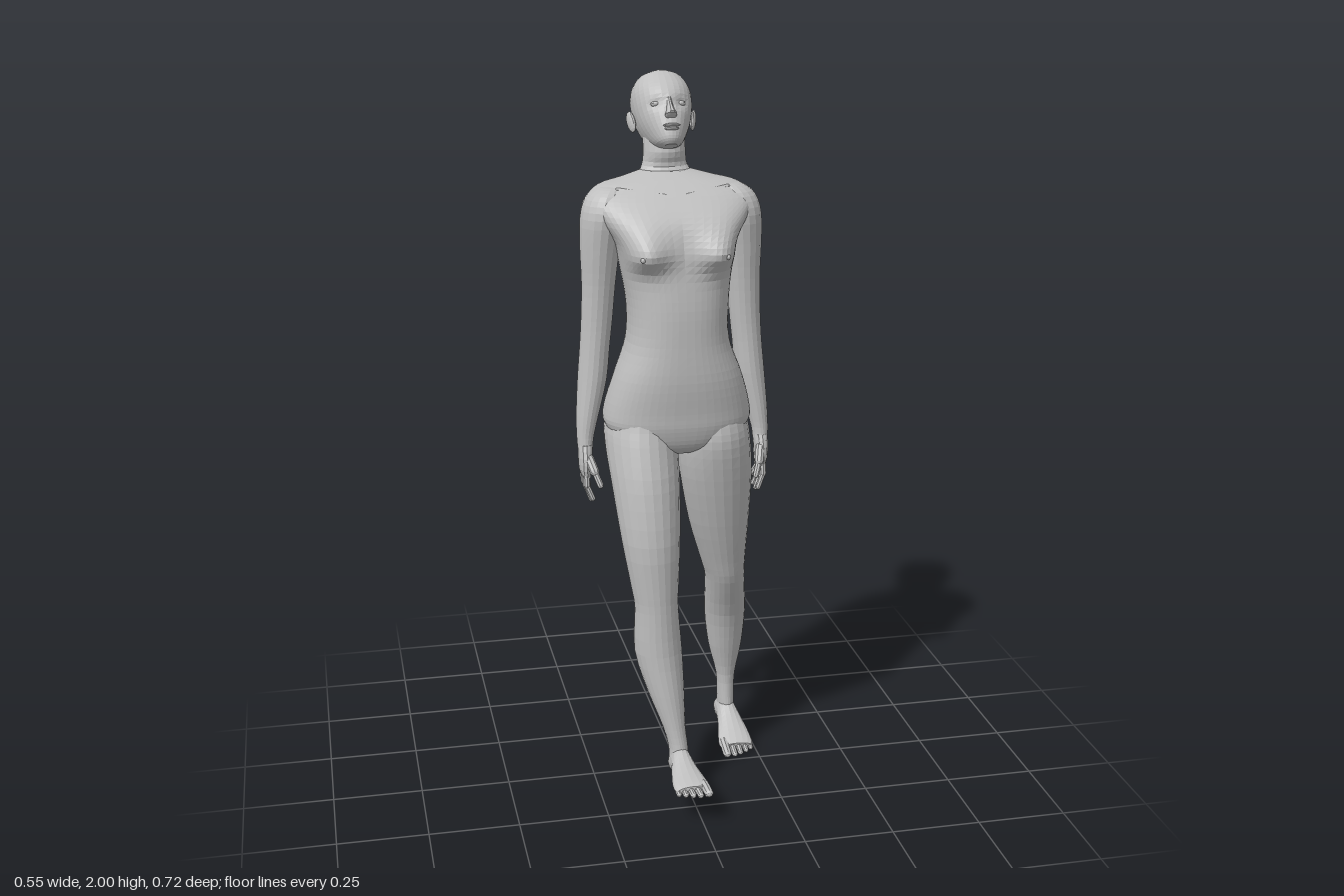
import * as THREE from 'three';

const skin = new THREE.MeshStandardMaterial({ color: 0xbfbfbf, flatShading: true });
skin.name = 'plain grey';

const catmull = (a, b, c, d, t) =>
  b + 0.5 * t * (c - a + t * (2 * a - 5 * b + 4 * c - d + t * (3 * (b - c) + d - a)));

// Closed skin through rows of [height, x min, x max, z min, z max], listed bottom to top
function loft(rows, { seg = 20, sub = 3, power = 2, side = 1, shape } = {}) {
  const pos = [], idx = [], rings = (rows.length - 1) * sub + 1;
  const row = (i) => rows[Math.min(Math.max(i, 0), rows.length - 1)];
  for (let r = 0; r < rings; r++) {
    const i = Math.min(Math.floor(r / sub), rows.length - 2), t = r / sub - i;
    const [y, x0, x1, z0, z1] = row(i).map((_, k) =>
      catmull(row(i - 1)[k], row(i)[k], row(i + 1)[k], row(i + 2)[k], t));
    for (let j = 0; j < seg; j++) {
      const a = (j / seg) * Math.PI * 2, c = Math.cos(a), s = Math.sin(a);
      const p = new THREE.Vector3(
        side * (x0 + x1) / 2 + (x1 - x0) / 2 * Math.sign(c) * Math.abs(c) ** (2 / power), y,
        (z0 + z1) / 2 + (z1 - z0) / 2 * Math.sign(s) * Math.abs(s) ** (2 / power));
      if (shape) shape(p, s);
      pos.push(p.x, p.y, p.z);
      const k = (j + 1) % seg, b = r * seg;
      if (r < rings - 1) idx.push(b + k, b + j, b + seg + j, b + k, b + seg + j, b + seg + k);
    }
  }
  // End caps
  for (const [r, i] of [[0, 0], [rings - 1, rows.length - 1]]) {
    const [y, x0, x1, z0, z1] = rows[i], c = pos.length / 3;
    pos.push(side * (x0 + x1) / 2, y, (z0 + z1) / 2);
    for (let j = 0; j < seg; j++) {
      const a = r * seg + j, b = r * seg + (j + 1) % seg;
      r ? idx.push(c, b, a) : idx.push(c, a, b);
    }
  }
  const g = new THREE.BufferGeometry();
  g.setAttribute('position', new THREE.Float32BufferAttribute(pos, 3));
  g.setIndex(idx);
  g.computeVertexNormals();
  return g;
}

function add(parent, name, geometry) {
  const m = new THREE.Mesh(geometry, skin);
  m.name = name;
  parent.add(m);
  return m;
}

function blob(parent, name, p, r) {
  const m = add(parent, name, new THREE.SphereGeometry(1, 12, 8));
  m.position.set(...p);
  m.scale.set(...r);
  return m;
}

// Rounded rod between two points
function rod(parent, name, a, b, r) {
  const A = new THREE.Vector3(...a), B = new THREE.Vector3(...b), d = B.clone().sub(A);
  const m = add(parent, name, new THREE.CapsuleGeometry(r, d.length(), 3, 8));
  m.position.copy(A).add(B).multiplyScalar(0.5);
  m.quaternion.setFromUnitVectors(new THREE.Vector3(0, 1, 0), d.normalize());
}

const bump = (u, v) => Math.exp(-u * u - v * v);

// Bust in front; spine hollow, buttocks and cleft behind
function shapeTorso(p, s) {
  const ax = Math.abs(p.x);
  if (s > 0) {
    const v = p.y - 1.55;
    p.z += 0.055 * bump((ax - 0.11) / 0.062, v / (v < 0 ? 0.042 : 0.065)) * Math.min(1, s * 2);
  } else {
    p.z += 0.012 * bump(p.x / 0.05, (p.y - 1.4) / 0.17);
    p.z -= 0.016 * bump((ax - 0.09) / 0.07, (p.y - 1.085) / 0.06) * Math.min(1, -s * 1.5);
    p.z += 0.04 * bump(p.x / 0.03, (p.y - 1.05) / 0.07);
  }
}

// Eye sockets
function shapeHead(p, s) {
  if (s > 0) p.z -= 0.01 * bump((Math.abs(p.x) - 0.034) / 0.02, (p.y + 0.014) / 0.016);
}

function makeHead() {
  const head = new THREE.Group();
  head.name = 'head';
  head.position.set(0.005, 1.9, -0.225);
  head.rotation.x = -0.435;
  add(head, 'skull', loft([
    [-0.128, -0.018, 0.018, 0.04, 0.085], [-0.115, -0.037, 0.037, -0.02, 0.097],
    [-0.09, -0.054, 0.054, -0.085, 0.101], [-0.06, -0.068, 0.068, -0.107, 0.1],
    [-0.03, -0.077, 0.077, -0.121, 0.099], [0, -0.082, 0.082, -0.13, 0.098],
    [0.035, -0.083, 0.083, -0.13, 0.086], [0.065, -0.075, 0.075, -0.115, 0.064],
    [0.09, -0.055, 0.055, -0.08, 0.04], [0.104, -0.015, 0.015, -0.03, 0.012],
  ], { seg: 32, power: 2.15, shape: shapeHead }));
  add(head, 'nose', loft([
    [-0.06, -0.012, 0.012, 0.08, 0.108], [-0.052, -0.017, 0.017, 0.08, 0.125],
    [-0.042, -0.012, 0.012, 0.08, 0.124], [-0.022, -0.008, 0.008, 0.08, 0.11],
    [0.002, -0.007, 0.007, 0.08, 0.097],
  ], { seg: 10, sub: 2 }));
  blob(head, 'upperLip', [0, -0.08, 0.098], [0.024, 0.005, 0.01]);
  blob(head, 'lowerLip', [0, -0.089, 0.097], [0.02, 0.006, 0.011]);
  for (const s of [-1, 1]) {
    blob(head, 'eye', [s * 0.034, -0.014, 0.075], [0.015, 0.008, 0.011]);
    const ear = blob(head, 'ear', [s * 0.087, -0.032, -0.022], [0.008, 0.03, 0.018]);
    ear.rotation.set(-0.1, s * -0.4, s * -0.2);
  }
  return head;
}

function makeArm(s) {
  const arm = new THREE.Group();
  arm.name = s > 0 ? 'leftArm' : 'rightArm';
  add(arm, 'armSkin', loft([
    [0.985, 0.23, 0.272, -0.085, -0.03], [1.02, 0.226, 0.274, -0.092, -0.034],
    [1.08, 0.21, 0.273, -0.112, -0.035], [1.18, 0.184, 0.266, -0.132, -0.038],
    [1.27, 0.174, 0.258, -0.135, -0.042], [1.35, 0.165, 0.253, -0.133, -0.042],
    [1.45, 0.156, 0.25, -0.137, -0.036], [1.55, 0.143, 0.253, -0.15, -0.024],
    [1.63, 0.13, 0.251, -0.162, -0.014], [1.68, 0.125, 0.236, -0.16, -0.026],
    [1.705, 0.13, 0.205, -0.145, -0.05], [1.712, 0.145, 0.175, -0.12, -0.08],
  ], { side: s, seg: 18 }));
  add(arm, 'palm', loft([
    [0.905, 0.238, 0.262, -0.092, -0.022], [0.93, 0.235, 0.27, -0.097, -0.014],
    [0.965, 0.232, 0.272, -0.093, -0.016], [1.0, 0.23, 0.272, -0.085, -0.03],
  ], { side: s, seg: 12, sub: 2 }));
  // Fingers curl toward the thigh, front to back
  [[-0.03, -0.02, 0.85], [-0.05, -0.047, 0.84], [-0.068, -0.074, 0.845], [-0.085, -0.098, 0.865]]
    .forEach(([z0, z1, tip]) => {
      const mid = [s * 0.253, (0.915 + tip) / 2 + 0.005, (z0 + z1) / 2];
      rod(arm, 'finger', [s * 0.253, 0.92, z0], mid, 0.0095);
      rod(arm, 'fingertip', mid, [s * 0.238, tip, z1], 0.008);
    });
  rod(arm, 'thumbBase', [s * 0.245, 0.965, -0.03], [s * 0.235, 0.935, 0.0], 0.013);
  rod(arm, 'thumb', [s * 0.235, 0.935, 0.0], [s * 0.222, 0.9, 0.018], 0.009);
  return arm;
}

function makeFoot(s, position, pitch, yaw) {
  const foot = new THREE.Group();
  foot.name = s > 0 ? 'leftFoot' : 'rightFoot';
  // Sections run from heel to ball: [z, inner, outer, bottom, top]
  const rows = [
    [0, -0.015, 0.015, 0.014, 0.045], [0.012, -0.025, 0.025, 0.003, 0.062],
    [0.04, -0.03, 0.03, 0, 0.085], [0.075, -0.031, 0.031, 0.002, 0.088],
    [0.12, -0.036, 0.04, 0.007, 0.066], [0.17, -0.046, 0.05, 0.002, 0.046],
    [0.202, -0.05, 0.052, 0, 0.034], [0.218, -0.046, 0.046, 0.004, 0.026],
  ].map(([z, x0, x1, y0, y1]) => [z, x0, x1, -y1, -y0]);
  add(foot, 'footSkin', loft(rows, { side: s, seg: 16 }).rotateX(Math.PI / 2));
  [[-0.035, 0.26, 0.013], [-0.012, 0.257, 0.009], [0.007, 0.25, 0.0085],
    [0.026, 0.24, 0.008], [0.043, 0.228, 0.0075]].forEach(([x, end, r]) =>
    rod(foot, 'toe', [s * x, r + 0.008, 0.195], [s * x, r + 0.001, end - r], r));
  foot.position.set(...position);
  foot.rotation.set(pitch, yaw, 0);
  return foot;
}

export function createModel() {
  const figure = new THREE.Group();
  figure.name = 'walkingFigure';

  // Trunk from crotch to collar, including the shoulder slope
  add(figure, 'torso', loft([
    [0.985, -0.05, 0.06, -0.09, 0.04], [1.01, -0.15, 0.16, -0.135, 0.07],
    [1.06, -0.197, 0.207, -0.168, 0.086], [1.11, -0.198, 0.208, -0.172, 0.091],
    [1.2, -0.172, 0.182, -0.157, 0.1], [1.3, -0.138, 0.146, -0.158, 0.1],
    [1.4, -0.134, 0.144, -0.166, 0.098], [1.5, -0.15, 0.155, -0.174, 0.088],
    [1.57, -0.166, 0.166, -0.182, 0.08], [1.63, -0.205, 0.205, -0.19, 0.058],
    [1.68, -0.228, 0.228, -0.198, 0.005], [1.71, -0.195, 0.195, -0.205, -0.04],
    [1.725, -0.13, 0.135, -0.212, -0.07], [1.74, -0.065, 0.07, -0.22, -0.12],
  ], { seg: 56, sub: 4, power: 2.4, shape: shapeTorso }));
  add(figure, 'neck', loft([
    [1.69, -0.12, 0.125, -0.205, -0.06], [1.72, -0.085, 0.09, -0.222, -0.105],
    [1.75, -0.062, 0.067, -0.236, -0.142], [1.79, -0.056, 0.062, -0.256, -0.135],
    [1.85, -0.055, 0.062, -0.28, -0.15],
  ]));
  figure.add(makeHead());

  for (const s of [-1, 1]) {
    figure.add(makeArm(s));
    blob(figure, 'nipple', [s * 0.115, 1.546, 0.106], [0.007, 0.007, 0.007]);
    rod(figure, 'collarbone', [s * 0.03, 1.69, -0.022], [s * 0.15, 1.704, -0.062], 0.009);
  }

  // Hip, thigh and calf of each leg: right strides forward, left trails
  add(figure, 'rightLeg', loft([
    [0.06, -0.048, -0.006, 0.115, 0.18], [0.1, -0.055, -0.001, 0.105, 0.185],
    [0.14, -0.055, 0, 0.1, 0.174], [0.2, -0.07, -0.005, 0.085, 0.165],
    [0.3, -0.107, -0.003, 0.04, 0.156], [0.42, -0.14, -0.005, 0.003, 0.146],
    [0.55, -0.14, -0.017, 0.022, 0.145], [0.62, -0.15, -0.015, 0.012, 0.147],
    [0.75, -0.172, -0.008, -0.02, 0.148], [0.9, -0.19, 0, -0.09, 0.127],
    [1.0, -0.199, 0.003, -0.157, 0.1], [1.06, -0.196, 0.002, -0.178, 0.08],
    [1.12, -0.172, -0.01, -0.15, 0.06], [1.18, -0.12, -0.04, -0.11, 0.01],
  ], { seg: 24 }));
  add(figure, 'leftLeg', loft([
    [0.04, 0.17, 0.21, -0.25, -0.17], [0.07, 0.166, 0.215, -0.252, -0.16],
    [0.12, 0.165, 0.215, -0.235, -0.163], [0.2, 0.16, 0.217, -0.228, -0.163],
    [0.3, 0.135, 0.235, -0.242, -0.14], [0.42, 0.118, 0.24, -0.238, -0.105],
    [0.55, 0.106, 0.221, -0.178, -0.043], [0.62, 0.086, 0.218, -0.16, -0.02],
    [0.75, 0.046, 0.22, -0.148, 0.02], [0.9, 0.015, 0.22, -0.135, 0.06],
    [1.0, 0.003, 0.214, -0.158, 0.08], [1.06, 0.004, 0.206, -0.178, 0.076],
    [1.12, 0.015, 0.182, -0.15, 0.055], [1.18, 0.045, 0.13, -0.11, 0.01],
  ], { seg: 24 }));
  figure.add(makeFoot(-1, [-0.028, 0.047, 0.108], -0.15, 0.03));
  figure.add(makeFoot(1, [0.19, 0.035, -0.264], 0.133, 0));
  return figure;
}
